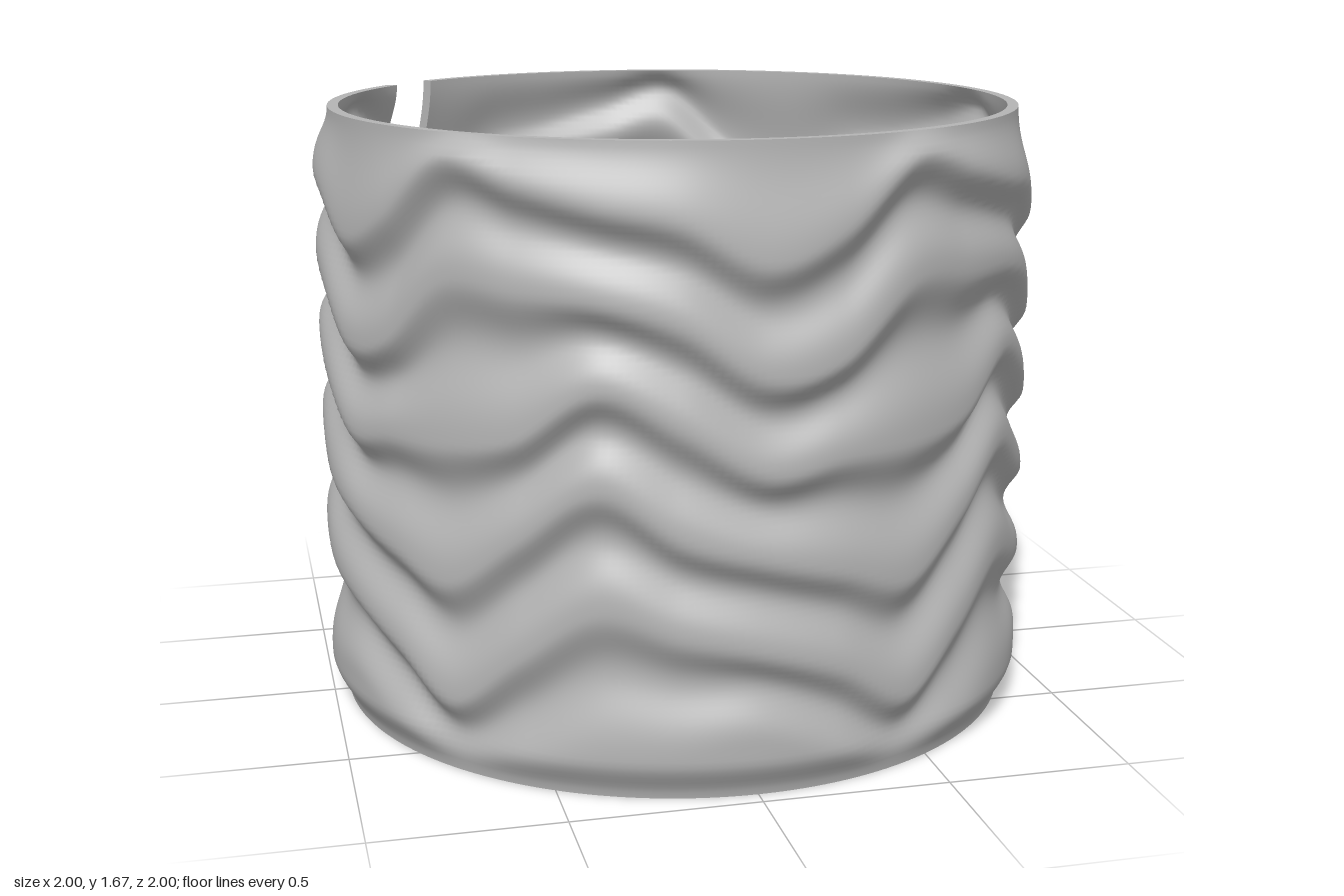
import * as THREE from 'three';

const H = 1.67, COLS = 288, ROWS = 100;       // wall grid
const R = 0.955, BULGE = 0.045, THICK = 0.03;
const FLOOR = 0.1, LOBES = 5;
const NOTCH = { from: 176, to: 184, row: 90 }; // columns and lowest row of the cut-out

// Heights of the six ridges over one lobe, from bottom to top
const RIDGES = [
  [0.11, 0.03, -0.08, -0.03, 0.05, 0.08],
  [0.35, 0.28, 0.17, 0.32, 0.46, 0.40],
  [0.59, 0.54, 0.49, 0.63, 0.77, 0.65],
  [0.81, 0.84, 0.85, 0.89, 1.02, 0.93],
  [1.05, 1.09, 1.27, 1.26, 1.24, 1.18],
  [1.33, 1.41, 1.57, 1.52, 1.47, 1.43],
];

// Smooth periodic interpolation through a ridge's heights
function ridgeHeight(v, theta) {
  const n = v.length;
  const u = ((theta * LOBES / (2 * Math.PI)) % 1) * n;
  const i = Math.floor(u), t = u - i;
  const p = k => v[(i + k + n) % n];
  const a = p(-1), b = p(0), c = p(1), d = p(2);
  return 0.04 + b + 0.5 * t * (c - a + t * (2 * a - 5 * b + 4 * c - d + t * (3 * (b - c) + d - a)));
}

// Bulge from 0 (valley) to 1 (crest); steep under each crest, gentle above it
function bulge(crests, y) {
  const last = crests.length - 1;
  const fade = THREE.MathUtils.smoothstep(y, 0, 0.11);
  if (y <= crests[0]) return fade;
  if (y >= crests[last]) {
    const t = (y - crests[last]) / (H - crests[last]);
    return 0.5 + 0.5 * Math.cos(Math.PI * Math.min(t, 1));
  }
  let k = 0;
  while (y > crests[k + 1]) k++;
  const t = (y - crests[k]) / (crests[k + 1] - crests[k]);
  return fade * (0.5 + 0.5 * Math.cos(2 * Math.PI * Math.pow(t, 1.4)));
}

const angle = col => (col % COLS) / COLS * Math.PI * 2;

function wallPoint(col, y, inset) {
  const th = angle(col);
  const r = R + BULGE * bulge(RIDGES.map(v => ridgeHeight(v, th)), y) - inset;
  return [r * Math.sin(th), y, r * Math.cos(th)];
}

// Rippled tube with the notch left out
function wallSurface(inset, firstRow, inward) {
  const pos = [], index = [];
  const id = (i, j) => (j - firstRow) * COLS + (i % COLS);
  for (let j = firstRow; j <= ROWS; j++)
    for (let i = 0; i < COLS; i++) pos.push(...wallPoint(i, j / ROWS * H, inset));
  for (let j = firstRow; j < ROWS; j++)
    for (let i = 0; i < COLS; i++) {
      if (j >= NOTCH.row && i >= NOTCH.from && i < NOTCH.to) continue;
      const a = id(i, j), b = id(i + 1, j), c = id(i + 1, j + 1), d = id(i, j + 1);
      if (inward) index.push(a, c, b, a, d, c);
      else index.push(a, b, c, a, c, d);
    }
  const g = new THREE.BufferGeometry();
  g.setAttribute('position', new THREE.Float32BufferAttribute(pos, 3));
  g.setIndex(index);
  g.computeVertexNormals();
  return g;
}

// Flat edge joining outer and inner wall, following the rim down through the notch
function rimSurface() {
  const path = [];
  for (let i = NOTCH.to; i < NOTCH.from + COLS; i++) path.push([i, ROWS]);
  for (let j = ROWS; j > NOTCH.row; j--) path.push([NOTCH.from, j]);
  for (let i = NOTCH.from; i < NOTCH.to; i++) path.push([i, NOTCH.row]);
  for (let j = NOTCH.row; j <= ROWS; j++) path.push([NOTCH.to, j]);
  const pos = [];
  for (let k = 0; k < path.length - 1; k++) {
    const [p, q] = [path[k], path[k + 1]];
    const a = wallPoint(p[0], p[1] / ROWS * H, 0), b = wallPoint(q[0], q[1] / ROWS * H, 0);
    const c = wallPoint(q[0], q[1] / ROWS * H, THICK), d = wallPoint(p[0], p[1] / ROWS * H, THICK);
    pos.push(...a, ...b, ...c, ...a, ...c, ...d);
  }
  const g = new THREE.BufferGeometry();
  g.setAttribute('position', new THREE.Float32BufferAttribute(pos, 3));
  g.computeVertexNormals();
  return g;
}

export function createModel() {
  const group = new THREE.Group();
  const grey = new THREE.MeshStandardMaterial({ color: 0xb4b4b4, side: THREE.DoubleSide });
  grey.name = 'plain grey';
  const add = (name, geometry) => {
    const m = new THREE.Mesh(geometry, grey);
    m.name = name;
    group.add(m);
    return m;
  };

  // Rippled wall
  add('outerWall', wallSurface(0, 0, false));
  add('innerWall', wallSurface(THICK, 5, true));
  add('rim', rimSurface());

  // Underside
  add('base', new THREE.CircleGeometry(R, COLS).rotateX(Math.PI / 2));

  // Inside floor with four round recesses
  const outline = [];
  for (let i = 0; i < COLS; i++) {
    const [x, , z] = wallPoint(i, FLOOR, THICK - 0.004);
    outline.push(new THREE.Vector2(x, -z));
  }
  const floor = new THREE.Shape(outline);
  const spots = [];
  for (const x of [-0.335, 0.335]) for (const z of [-0.335, 0.335]) spots.push([x, z]);
  for (const [x, z] of spots)
    floor.holes.push(new THREE.Path().absarc(x, -z, 0.067, 0, Math.PI * 2, true));
  add('floor', new THREE.ShapeGeometry(floor, 24).rotateX(-Math.PI / 2)).position.y = FLOOR;

  for (const [x, z] of spots) {
    const side = add('recessSide', new THREE.CylinderGeometry(0.067, 0.067, 0.05, 48, 1, true));
    side.position.set(x, FLOOR - 0.025, z);
    const bottom = add('recessBottom', new THREE.CircleGeometry(0.067, 48).rotateX(-Math.PI / 2));
    bottom.position.set(x, FLOOR - 0.05, z);
  }
  return group;
}
